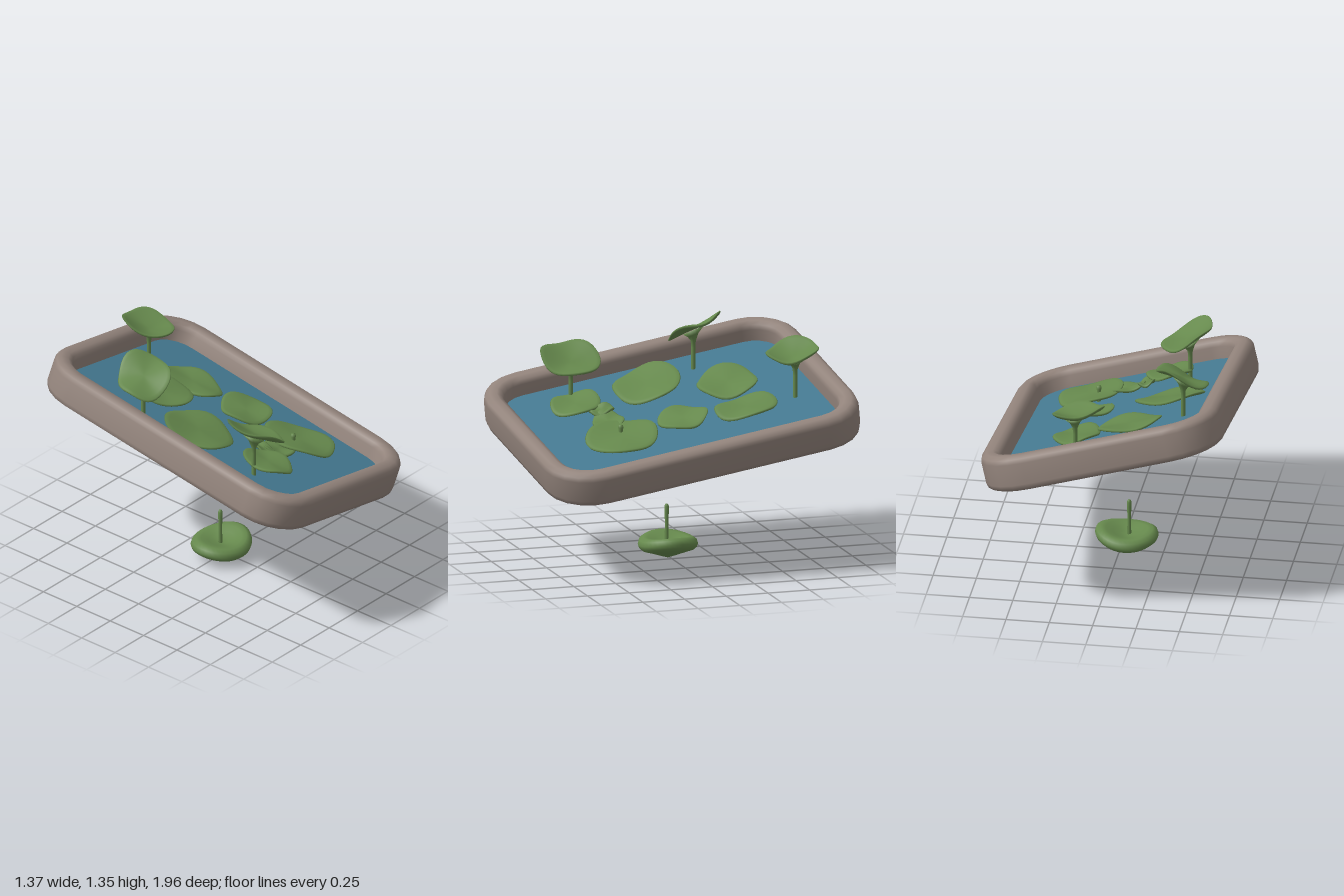
import * as THREE from 'three';
import { mergeVertices } from 'three/addons/utils/BufferGeometryUtils.js';

const stone = new THREE.MeshStandardMaterial({ color: 0x93847c });
stone.name = 'stone';
const water = new THREE.MeshStandardMaterial({ color: 0x457a92 });
water.name = 'water';
const leafGreen = new THREE.MeshStandardMaterial({ color: 0x66894d });
leafGreen.name = 'leaf green';

// The tray is tilted and slightly skewed; local x, y, z follow these axes
const tilt = new THREE.Matrix4()
  .makeBasis(
    new THREE.Vector3(1, -0.245, -0.1),
    new THREE.Vector3(0.25, 0.95, 0.16),
    new THREE.Vector3(0, -0.165, 1))
  .setPosition(-0.025, 0.768, -0.017);

// Rounded rectangle ring, inset from the tray's outer wall
function ring(inset, y) {
  const points = [], hx = 0.67, hz = 0.93, corner = 0.27, steps = 5;
  const r = Math.max(corner - inset, 0);
  [[1, 1], [-1, 1], [-1, -1], [1, -1]].forEach(([sx, sz], q) => {
    for (let i = 0; i <= steps; i++) {
      const a = (q + i / steps) * Math.PI / 2;
      points.push([sx * (hx - corner) + r * Math.cos(a), y, sz * (hz - corner) + r * Math.sin(a)]);
    }
  });
  return points;
}

const centre = (y) => ring(0, y).map(() => [0, y, 0]);

// Skin a list of equal rings
function loft(rings) {
  const n = rings[0].length, index = [];
  for (let i = 0; i < rings.length - 1; i++) {
    for (let j = 0; j < n; j++) {
      const k = (j + 1) % n, a = i * n + j, b = i * n + k;
      index.push(a, a + n, b, b, a + n, b + n);
    }
  }
  const g = new THREE.BufferGeometry();
  g.setAttribute('position', new THREE.Float32BufferAttribute(rings.flat(2), 3));
  g.setIndex(index);
  g.applyMatrix4(tilt);
  g.computeVertexNormals();
  return g;
}

function add(parent, name, geometry, material) {
  const mesh = new THREE.Mesh(geometry, material);
  mesh.name = name;
  parent.add(mesh);
  return mesh;
}

// Smooth turned shape without a seam; optional rule moves each vertex
function turned(profile, segments, move) {
  let g = new THREE.LatheGeometry(profile.map(([r, y]) => new THREE.Vector2(r, y)), segments);
  g.deleteAttribute('uv');
  g.deleteAttribute('normal');
  const p = g.attributes.position, v = new THREE.Vector3();
  for (let i = 0; move && i < p.count; i++) {
    move(v.fromBufferAttribute(p, i));
    p.setXYZ(i, v.x, v.y, v.z);
  }
  g = mergeVertices(g, 1e-5);
  g.computeVertexNormals();
  return g;
}

// Thin wavy pad: unit disc scaled to rx, rz, sloped, cupped and rippled
function leaf({ rx, rz, sx = -0.24, sz = -0.18, cup = 0.01, wave = 0.012, phase = 0, thick = 0.01 }) {
  const profile = [[0, -thick], [0.3, -thick], [0.6, -thick], [0.85, -thick], [0.97, -thick * 0.7], [1, 0],
    [0.97, thick * 0.7], [0.85, thick], [0.6, thick], [0.3, thick], [0, thick]];
  return turned(profile, 36, (v) => {
    const r = Math.hypot(v.x, v.z), a = Math.atan2(v.z, v.x);
    const outline = 1 + r * (0.025 * Math.cos(3 * a + phase) + 0.02 * Math.cos(5 * a + 2 * phase));
    v.x *= rx * outline;
    v.z *= rz * outline;
    v.y += sx * v.x + sz * v.z + cup * (r * r - 0.4) + wave * r * r * Math.cos(3 * a + phase);
  });
}

export function createModel() {
  const model = new THREE.Group();
  model.name = 'lily pond';

  // Stone basin with a rounded rim
  const pond = new THREE.Group();
  pond.name = 'pond';
  model.add(pond);
  const wall = [[0.03, 0], [0.008, 0.012], [0, 0.04], [0, 0.165], [0.01, 0.19], [0.035, 0.207],
    [0.075, 0.207], [0.1, 0.192], [0.11, 0.165], [0.115, 0.08]];
  add(pond, 'basinWall', loft(wall.map(([inset, y]) => ring(inset, y))), stone);
  add(pond, 'basinFloor', loft([centre(0), ring(0.03, 0)]), stone);
  add(pond, 'waterSurface', loft([ring(0.112, 0.095), centre(0.095)]), water);

  // Pads lying just above the water
  const pads = [
    { at: [-0.285, 0.965, 0.055], rx: 0.2, rz: 0.195, sz: -0.28, phase: 1 },
    { at: [-0.11, 0.985, -0.365], rx: 0.185, rz: 0.172, phase: 2.4 },
    { at: [0.185, 0.9, -0.385], rx: 0.135, rz: 0.185, sx: -0.2, phase: 0.6 },
    { at: [0.19, 0.865, 0], rx: 0.155, rz: 0.143, sx: -0.15, sz: -0.22, phase: 4 },
    { at: [0.23, 0.79, 0.375], rx: 0.185, rz: 0.21, sx: -0.28, sz: -0.14, phase: 5.2 },
    { at: [0.02, 0.835, 0.39], rx: 0.105, rz: 0.09, sx: -0.3, phase: 3 },
    { at: [-0.21, 0.895, 0.51], rx: 0.135, rz: 0.145, phase: 0 },
    { at: [-0.09, 0.875, 0.39], rx: 0.05, rz: 0.075, sx: -0.25, phase: 2 },
  ];
  const floating = new THREE.Group();
  floating.name = 'floatingPads';
  model.add(floating);
  pads.forEach((p, i) => add(floating, `floatingPad${i + 1}`, leaf(p), leafGreen).position.set(...p.at));

  // Short shoot poking through the front pad
  const shoot = [[0, -0.1], [0.011, -0.1], [0.012, 0.03], [0.016, 0.045], [0.012, 0.058], [0, 0.061]];
  add(floating, 'shoot', turned(shoot, 12), leafGreen).position.set(0.18, 0.79, 0.365);

  // Raised leaves on stems that flare into the blade
  const raised = [
    { at: [0.135, 1.178, -0.68], foot: [0.15, 0.9, -0.69], rx: 0.15, rz: 0.152,
      sx: -0.19, sz: -0.18, cup: 0.045, wave: 0.012, phase: 2 },
    { at: [-0.4, 1.25, -0.26], foot: [-0.405, 0.99, -0.26], rx: 0.152, rz: 0.15,
      sx: 0.36, sz: -0.34, cup: 0.01, wave: 0.02, phase: 3.6 },
    { at: [-0.31, 1.125, 0.505], foot: [-0.325, 0.82, 0.5], rx: 0.147, rz: 0.175,
      sx: -0.5, sz: 0, cup: 0.035, wave: 0.015, phase: 0.5 },
  ];
  raised.forEach((p, i) => {
    const plant = new THREE.Group();
    plant.name = `raisedLeaf${i + 1}`;
    model.add(plant);
    add(plant, 'blade', leaf(p), leafGreen).position.set(...p.at);
    const h = p.at[1] - p.foot[1] - 0.02;
    const [sx, sz] = [p.sx, p.sz];
    const stem = turned([[0, 0], [0.012, 0], [0.012, h - 0.1], [0.015, h - 0.06],
      [0.03, h - 0.028], [0.06, h], [0, h]], 14, (v) => {
      if (v.y > h - 0.04) v.y += sx * v.x + sz * v.z;
    });
    add(plant, 'stem', stem, leafGreen).position.set(...p.foot);
  });

  // Separate thick pad below the basin, pointed underneath and dished on top
  const lower = new THREE.Group();
  lower.name = 'lowerPad';
  model.add(lower);
  const dish = [[0, 0], [0.05, 0.018], [0.11, 0.04], [0.155, 0.055], [0.175, 0.072], [0.182, 0.093],
    [0.174, 0.117], [0.15, 0.131], [0.12, 0.127], [0.08, 0.112], [0.04, 0.1], [0, 0.095]];
  const pad = turned(dish, 36, (v) => {
    v.y += (0.04 * v.x + 0.012 * Math.cos(2 * Math.atan2(v.z, v.x))) * Math.hypot(v.x, v.z) / 0.18;
    v.z *= 0.94;
  });
  add(lower, 'dish', pad, leafGreen).position.set(-0.037, 0.002, 0.012);
  const stalk = [[0, 0.07], [0.013, 0.07], [0.01, 0.2], [0.013, 0.27], [0.013, 0.3], [0.008, 0.312], [0, 0.316]];
  add(lower, 'stalk', turned(stalk, 12), leafGreen).position.set(-0.05, 0, 0.015);

  return model;
}
